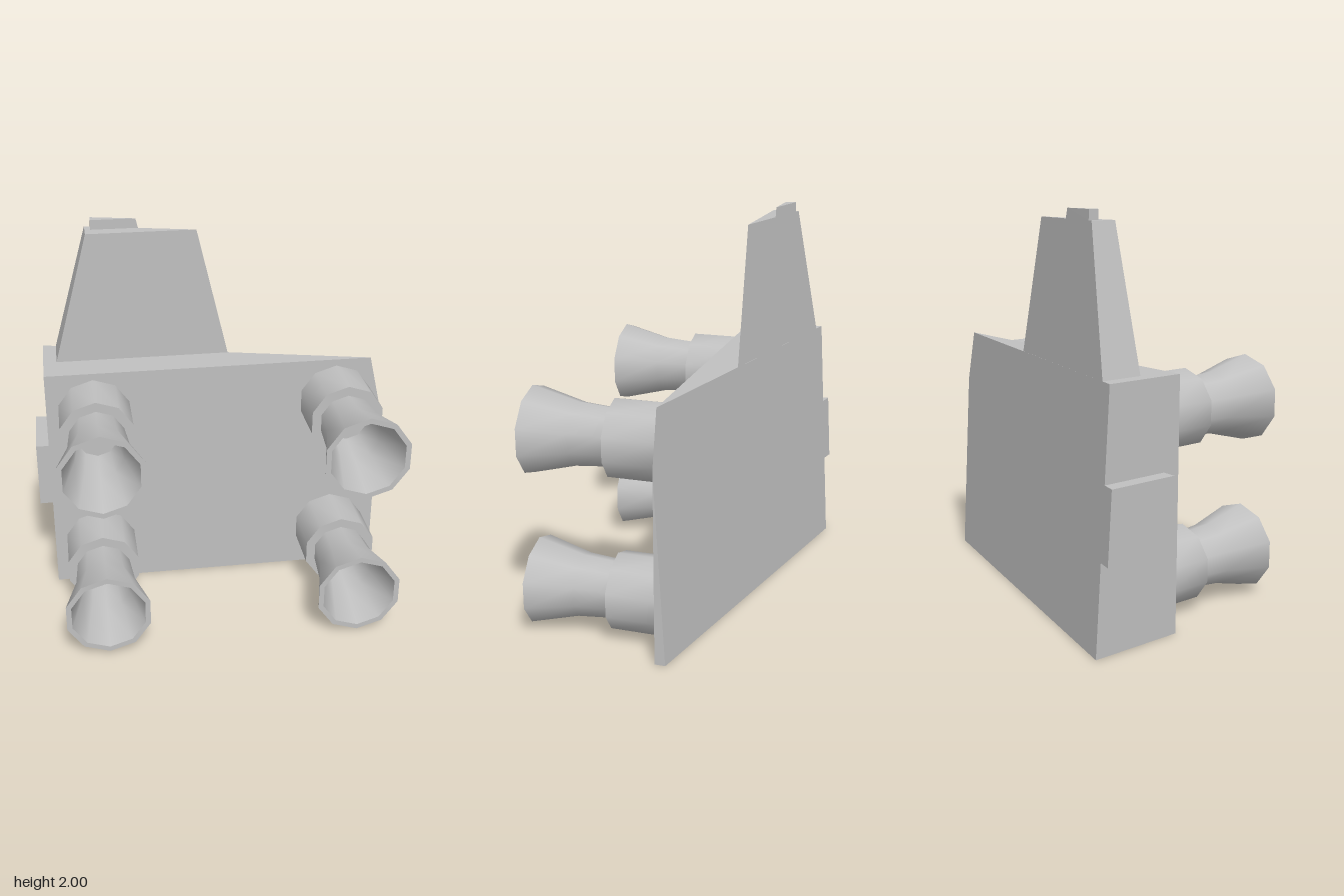
import * as THREE from 'three';
import { toCreasedNormals } from 'three/addons/utils/BufferGeometryUtils.js';

// All plates share one sloping back plane
const backZ = (x, y) => -0.3784 + 0.2423 * x + 0.0575 * y;

// Outline extruded from a flat front to the sloping back plane
function wedge(name, outline, frontZ, material) {
  const shape = new THREE.Shape(outline.map(([x, y]) => new THREE.Vector2(x, y)));
  const geo = new THREE.ExtrudeGeometry(shape, { depth: 1, bevelEnabled: false });
  const p = geo.attributes.position;
  for (let i = 0; i < p.count; i++) {
    const back = Math.min(backZ(p.getX(i), p.getY(i)), frontZ);
    p.setZ(i, p.getZ(i) > 0.5 ? frontZ : back);
  }
  geo.computeVertexNormals();
  const mesh = new THREE.Mesh(geo, material);
  mesh.name = name;
  return mesh;
}

export function createModel() {
  const group = new THREE.Group();
  group.name = 'nozzleBlock';
  const grey = new THREE.MeshStandardMaterial({ color: 0xc0c0c0 });
  grey.name = 'light grey';

  // Main plate, tapering away to its left edge
  group.add(wedge('mainPlate',
    [[-0.865, 0], [0.93, 0], [0.93, 0.98], [0.865, 1.26], [-0.865, 1.26]], -0.1, grey));
  // Tapered fin on top, with a small tab at its tip
  group.add(wedge('topFin',
    [[-0.795, 1.26], [0.12, 1.26], [-0.045, 1.95], [-0.61, 1.95]], -0.278, grey));
  group.add(wedge('topTab',
    [[-0.58, 1.95], [-0.337, 1.95], [-0.349, 2], [-0.58, 2]], -0.35, grey));
  // Side tab
  group.add(wedge('sideTab',
    [[-0.935, 0.455], [-0.865, 0.455], [-0.865, 0.81], [-0.935, 0.81]], -0.19, grey));

  // Ten-sided nozzle: collar, throat, flared bell, lip and bore
  const profile = [
    [0.195, -0.1], [0.195, 0.17], [0.145, 0.17], [0.16, 0.35], [0.2225, 0.588],
    [0.195, 0.588], [0.13, 0.35], [0.105, 0.17], [0, 0.17],
  ].map(([r, h]) => new THREE.Vector2(r, h));
  const nozzleGeo = toCreasedNormals(new THREE.LatheGeometry(profile, 10).rotateX(Math.PI / 2), 0.8);
  for (const x of [-0.615, 0.68]) {
    for (const y of [0.235, 1.03]) {
      const nozzle = new THREE.Mesh(nozzleGeo, grey);
      nozzle.name = (y > 1 ? 'upper' : 'lower') + (x > 0 ? 'Left' : 'Right') + 'Nozzle';
      nozzle.position.set(x, y, 0);
      group.add(nozzle);
    }
  }
  return group;
}
